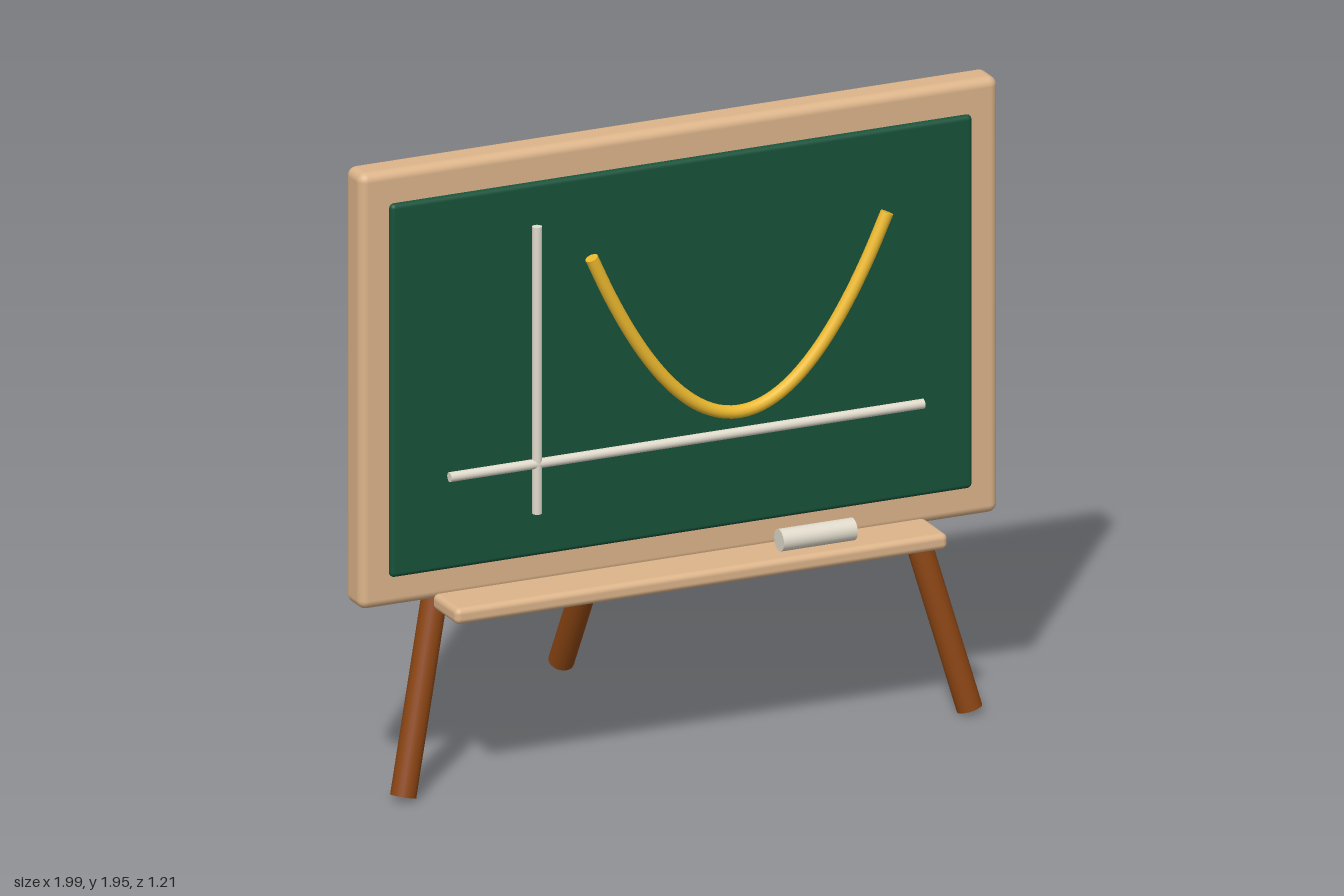
import * as THREE from 'three';
import { RoundedBoxGeometry } from 'three/addons/geometries/RoundedBoxGeometry.js';

const paint = (color) => new THREE.MeshStandardMaterial({ color });
const wood = paint(0xdcb48a);
const darkWood = paint(0x8b4513);
const green = paint(0x17523a);
const white = paint(0xe0dacb);
const yellow = paint(0xecb92e);

function add(parent, name, geometry, material) {
  const mesh = new THREE.Mesh(geometry, material);
  mesh.name = name;
  parent.add(mesh);
  return mesh;
}

// Rounded slab with its centre at (x, y, z)
function slab(parent, name, [w, h, d], [x, y, z], radius, material) {
  add(parent, name, new RoundedBoxGeometry(w, h, d, 4, radius), material).position.set(x, y, z);
}

// Round rod between two points
function rod(parent, name, from, to, radius, material) {
  const a = new THREE.Vector3(...from);
  const b = new THREE.Vector3(...to);
  const dir = b.clone().sub(a);
  const mesh = add(parent, name, new THREE.CylinderGeometry(radius, radius, dir.length(), 24), material);
  mesh.position.copy(a).add(b).multiplyScalar(0.5);
  mesh.quaternion.setFromUnitVectors(new THREE.Vector3(0, 1, 0), dir.normalize());
}

export function createModel() {
  const model = new THREE.Group();
  model.name = 'chalkboardEasel';

  // The whole easel is turned about the vertical
  const easel = new THREE.Group();
  easel.name = 'easel';
  easel.position.z = 0.15;
  easel.rotation.y = THREE.MathUtils.degToRad(18);
  model.add(easel);

  // Board, writing surface and tray
  slab(easel, 'boardFrame', [2.075, 1.36, 0.11], [0, 1.27, 0], 0.028, wood);
  slab(easel, 'writingSurface', [1.89, 1.165, 0.05], [0, 1.267, 0.046], 0.015, green);
  slab(easel, 'tray', [1.6, 0.05, 0.17], [0, 0.585, 0.127], 0.018, wood);

  // Drawn axes
  rod(easel, 'horizontalAxis', [-0.77, 0.985, 0.1], [0.77, 0.985, 0.1], 0.015, white);
  rod(easel, 'verticalAxis', [-0.485, 0.83, 0.1], [-0.485, 1.725, 0.1], 0.015, white);

  // Drawn parabola, closed by a disc at each end
  const points = [];
  for (let i = 0; i <= 16; i++) {
    const t = i / 8 - 1;
    points.push(new THREE.Vector3(0.172 + 0.48 * t, 1.05 + 0.55 * t * t, 0.1));
  }
  const path = new THREE.CatmullRomCurve3(points);
  add(easel, 'parabola', new THREE.TubeGeometry(path, 64, 0.02, 16), yellow);
  for (const t of [0, 1]) {
    const cap = add(easel, 'parabolaEnd', new THREE.CircleGeometry(0.02, 16), yellow);
    cap.position.copy(path.getPointAt(t));
    const outward = path.getTangentAt(t).multiplyScalar(t ? 1 : -1);
    cap.quaternion.setFromUnitVectors(new THREE.Vector3(0, 0, 1), outward);
  }

  // Chalk lying on the tray
  rod(easel, 'chalk', [0.28, 0.646, 0.145], [0.52, 0.646, 0.145], 0.034, white);

  // Splayed front legs and the rear prop
  for (const side of [-1, 1]) {
    rod(easel, 'frontLeg', [side * 0.92, 0.012, 0.1], [side * 0.765, 0.63, 0.002], 0.039, darkWood);
  }
  rod(easel, 'rearLeg', [0, 0.02, -0.77], [0, 1.26, -0.06], 0.039, darkWood);

  return model;
}
